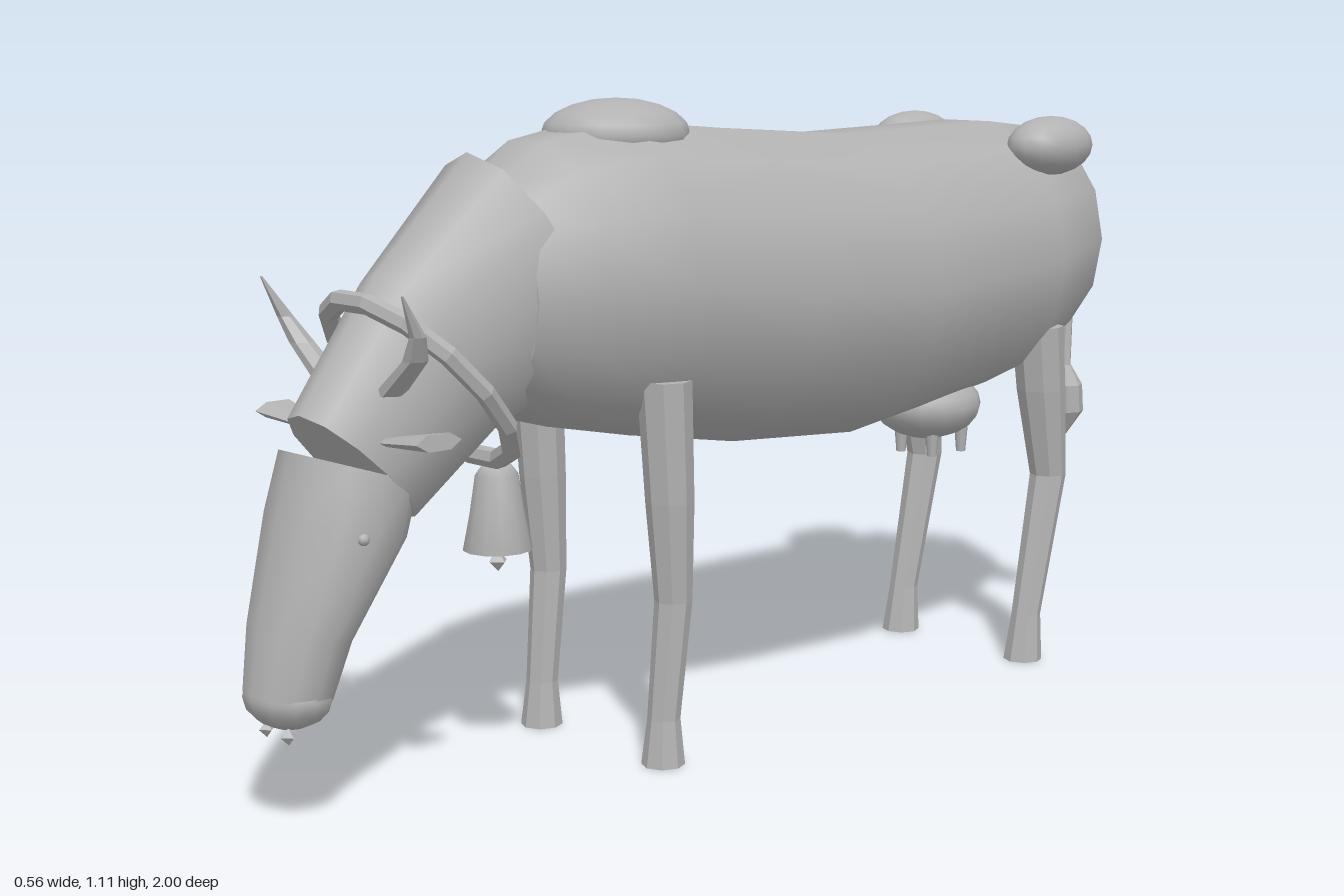
import * as THREE from 'three';

const hide = new THREE.MeshStandardMaterial({ color: 0xb2b2b2 });
hide.name = 'plain grey';

// Skin over elliptical rings [x, yTop, zTop, yBottom, zBottom, halfWidth], capped at both ends.
function loft(rings, sides, flat) {
  const pos = [], idx = [];
  const addRing = ([x, yt, zt, yb, zb, rx]) => {
    const start = pos.length / 3;
    for (let j = 0; j < sides; j++) {
      const a = (j / sides) * Math.PI * 2, s = Math.sin(a);
      pos.push(x + rx * Math.cos(a), (yt + yb) / 2 + s * (yt - yb) / 2, (zt + zb) / 2 + s * (zt - zb) / 2);
    }
    return start;
  };
  const starts = rings.map(addRing);
  for (let i = 0; i < rings.length - 1; i++) {
    for (let j = 0; j < sides; j++) {
      const k = (j + 1) % sides, a = starts[i], b = starts[i + 1];
      idx.push(a + j, a + k, b + k, a + j, b + k, b + j);
    }
  }
  const first = addRing(rings[0]), last = addRing(rings[rings.length - 1]);
  for (let j = 1; j < sides - 1; j++) {
    idx.push(first, first + j + 1, first + j, last, last + j, last + j + 1);
  }
  let g = new THREE.BufferGeometry();
  g.setAttribute('position', new THREE.Float32BufferAttribute(pos, 3));
  g.setIndex(idx);
  if (flat) g = g.toNonIndexed();
  g.computeVertexNormals();
  return g;
}

// Tapered limb through points [x, y, z, radius]; dir is 1 going down, -1 going up.
function limb(points, sides, dir = 1) {
  return loft(points.map(([x, y, z, r]) => [x, y, z + r * dir, y, z - r * dir, r]), sides, true);
}

function facet(geometry) {
  const g = geometry.index ? geometry.toNonIndexed() : geometry;
  g.computeVertexNormals();
  return g;
}

export function createModel() {
  const model = new THREE.Group();
  model.name = 'grazingCow';
  const add = (name, geometry, x = 0, y = 0, z = 0) => {
    const m = new THREE.Mesh(geometry, hide);
    m.name = name;
    m.position.set(x, y, z);
    model.add(m);
    return m;
  };
  const ball = (name, x, y, z, rx, ry, rz, w = 14, h = 10) =>
    add(name, new THREE.SphereGeometry(1, w, h).scale(rx, ry, rz), x, y, z);

  // Barrel body: [z, top, bottom, half width]
  const body = [
    [-0.9, 0.945, 0.68, 0.11], [-0.83, 1.03, 0.6, 0.195], [-0.65, 1.05, 0.53, 0.25],
    [-0.26, 1.04, 0.48, 0.28], [0.04, 1.06, 0.5, 0.272], [0.28, 1.08, 0.54, 0.247],
    [0.45, 1.05, 0.575, 0.2], [0.54, 0.98, 0.62, 0.14],
  ];
  add('body', loft(body.map(([z, t, b, w]) => [0, t, z, b, z, w]), 14, false));

  // Neck and head, lowered to graze
  add('neck', loft([
    [0, 1.032, 0.57, 0.66, 0.36, 0.15],
    [0, 0.85, 0.754, 0.575, 0.555, 0.115],
    [0, 0.647, 0.9, 0.46, 0.71, 0.1],
  ], 12, false));
  add('head', loft([
    [0, 0.594, 0.92, 0.52, 0.7, 0.1],
    [0, 0.5, 0.945, 0.44, 0.73, 0.113],
    [0, 0.33, 0.985, 0.29, 0.835, 0.092],
    [0, 0.225, 1.0, 0.205, 0.868, 0.077],
  ], 12, false));
  ball('muzzle', 0, 0.216, 0.934, 0.08, 0.052, 0.066, 12, 8);

  // Backbone hump and udder
  ball('hump', 0, 1.05, 0.255, 0.12, 0.06, 0.13);
  ball('udder', 0, 0.5, -0.545, 0.1, 0.066, 0.11);

  // Paired parts
  for (const s of [1, -1]) {
    const side = s > 0 ? 'left' : 'right';
    add(side + 'FrontLeg', limb([
      [s * 0.165, 0.655, 0.298, 0.046], [s * 0.165, 0.45, 0.287, 0.041],
      [s * 0.163, 0.28, 0.278, 0.032], [s * 0.16, 0.08, 0.298, 0.028], [s * 0.16, 0, 0.3, 0.037],
    ], 8));
    add(side + 'HindLeg', limb([
      [s * 0.16, 0.655, -0.68, 0.05], [s * 0.16, 0.53, -0.695, 0.047], [s * 0.16, 0.36, -0.722, 0.035],
      [s * 0.16, 0.09, -0.663, 0.028], [s * 0.16, 0, -0.655, 0.037],
    ], 8));
    ball(side + 'Hip', s * 0.172, 1.0, -0.69, 0.066, 0.056, 0.1);
    ball(side + 'Eye', s * 0.104, 0.465, 0.86, 0.01, 0.01, 0.01, 8, 6);
    add(side + 'Horn', limb([
      [s * 0.075, 0.675, 0.785, 0.025], [s * 0.15, 0.735, 0.79, 0.02],
      [s * 0.175, 0.775, 0.803, 0.013], [s * 0.186, 0.84, 0.838, 0.002],
    ], 6, -1));

    // Ear: flattened cone widening outwards
    const ear = add(side + 'Ear', facet(new THREE.CylinderGeometry(0.042, 0.02, 0.13, 6).scale(0.35, 1, 1)),
      s * 0.15, 0.613, 0.797);
    ear.rotation.z = -s * 1.45;

    // Nostril drops and teats
    add(side + 'NostrilDrop', facet(new THREE.OctahedronGeometry(0.014)), s * 0.03, 0.16, 0.955);
    for (const z of [-0.515, -0.6]) {
      add(side + 'Teat', new THREE.CylinderGeometry(0.014, 0.009, 0.06, 8), s * 0.04, 0.435, z);
    }
  }

  // Collar and bell
  const collar = add('collar', facet(new THREE.TorusGeometry(0.165, 0.016, 6, 14).scale(1, 1.15, 1)), 0, 0.675, 0.67);
  collar.rotation.x = 0.74;
  const profile = [[0, 0.525], [0.025, 0.52], [0.036, 0.505], [0.046, 0.44], [0.058, 0.38], [0.05, 0.38], [0.03, 0.5], [0, 0.51]];
  add('bell', new THREE.LatheGeometry(profile.reverse().map(([r, y]) => new THREE.Vector2(r, y)), 12), 0, 0, 0.52);
  add('clapper', facet(new THREE.OctahedronGeometry(0.018)), 0, 0.36, 0.52);
  add('clapperRod', new THREE.CylinderGeometry(0.004, 0.004, 0.13, 6), 0, 0.43, 0.52);

  // Tail with tuft
  add('tail', limb([
    [0, 1.01, -0.885, 0.02], [0, 0.91, -0.945, 0.018], [0.004, 0.68, -0.972, 0.013], [0.012, 0.51, -0.958, 0.012],
  ], 6));
  add('tailTuft', limb([
    [0.014, 0.535, -0.957, 0.012], [0.015, 0.495, -0.958, 0.034],
    [0.015, 0.44, -0.96, 0.036], [0.015, 0.39, -0.955, 0.004],
  ], 8));

  return model;
}
